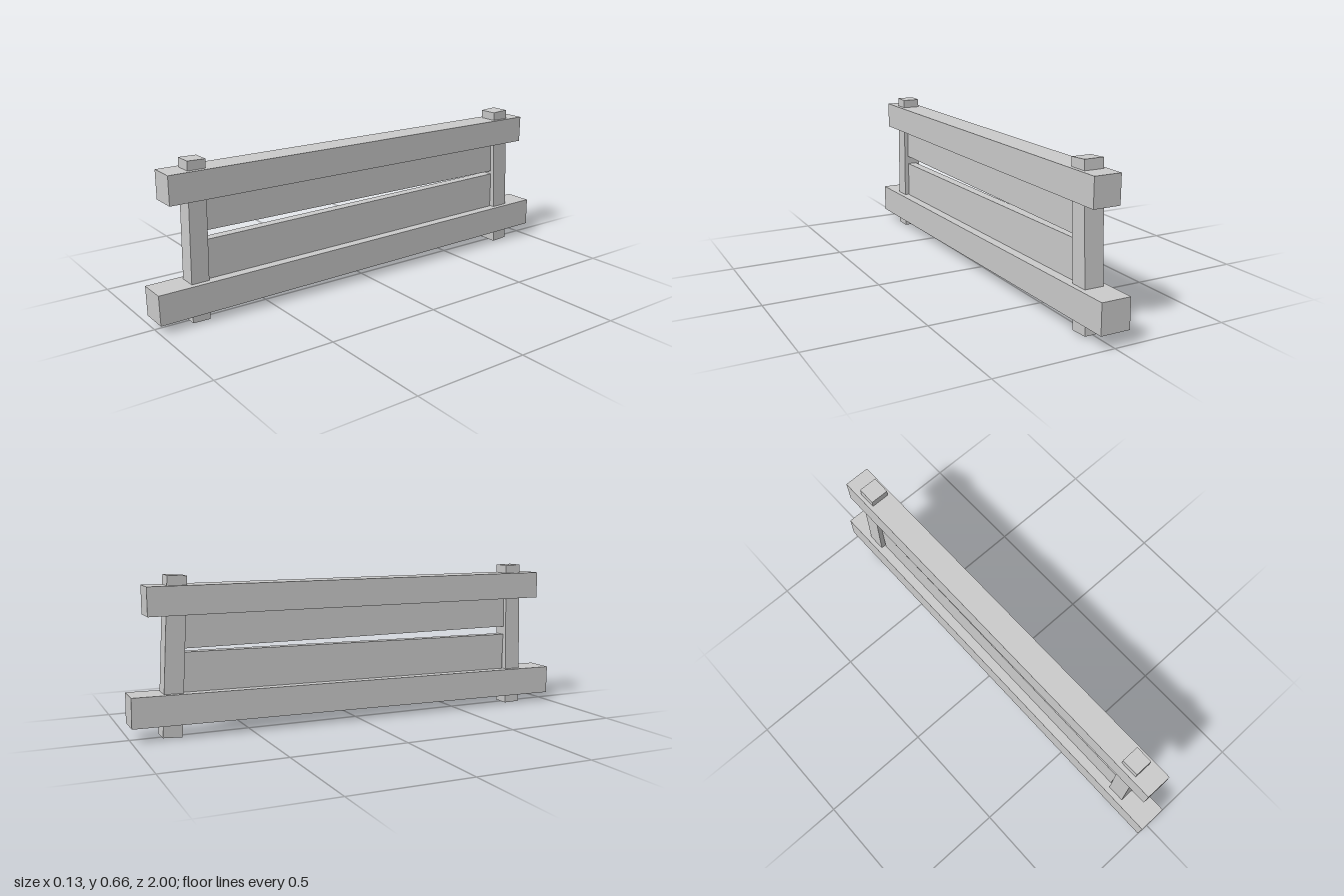
import * as THREE from 'three';

export function createModel() {
  const group = new THREE.Group();
  const material = new THREE.MeshStandardMaterial({ color: 0xcccccc, flatShading: true });

  // A squared timber, tilted slightly in the plane of the fence
  function timber(name, width, height, length, y, z, tilt) {
    const mesh = new THREE.Mesh(new THREE.BoxGeometry(width, height, length), material);
    mesh.name = name;
    mesh.position.set(0, y, z);
    mesh.rotation.x = tilt;
    group.add(mesh);
  }

  // Long rails
  timber('lowerRail', 0.126, 0.126, 1.998, 0.111, 0, 0.011);
  timber('upperRail', 0.116, 0.119, 1.85, 0.562, 0.003, -0.002);

  // Leaning posts that pass through both rails
  timber('frontPost', 0.078, 0.66, 0.076, 0.331, 0.808, -0.022);
  timber('backPost', 0.083, 0.657, 0.08, 0.331, -0.815, 0.056);

  // Thin boards between the posts, set into the rails
  timber('lowerBoard', 0.042, 0.19, 1.542, 0.244, -0.005, 0.011);
  timber('upperBoard', 0.042, 0.163, 1.545, 0.447, -0.003, -0.004);

  return group;
}
